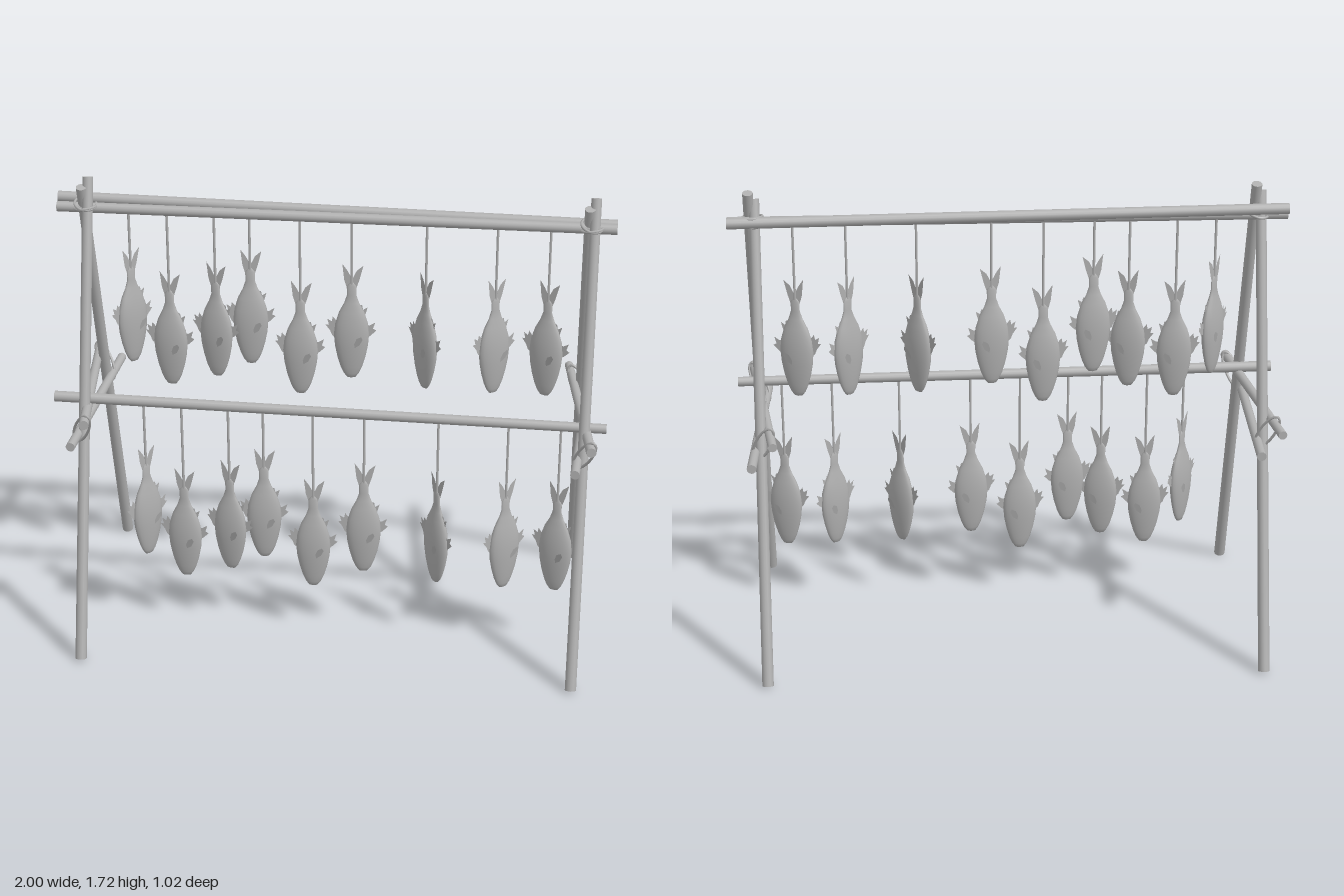
import * as THREE from 'three';

const grey = new THREE.MeshStandardMaterial({ color: 0xb0b0b0, side: THREE.DoubleSide });
grey.name = 'plain grey';

const V = (x, y, z) => new THREE.Vector3(x, y, z);

function add(parent, geometry, name) {
  const mesh = new THREE.Mesh(geometry, grey);
  mesh.name = name;
  parent.add(mesh);
  return mesh;
}

// Round stick between two points
function stick(parent, a, b, r0, r1, name, sides = 14) {
  const dir = b.clone().sub(a);
  const mesh = add(parent, new THREE.CylinderGeometry(r1, r0, dir.length(), sides), name);
  mesh.position.copy(a).add(b).multiplyScalar(0.5);
  mesh.quaternion.setFromUnitVectors(V(0, 1, 0), dir.normalize());
}

// Closed elliptical rope with half-axes u and v
function ropeLoop(parent, centre, u, v, name) {
  const points = [];
  for (let i = 0; i < 12; i++) {
    const a = (i / 12) * Math.PI * 2;
    points.push(centre.clone().addScaledVector(u, Math.cos(a)).addScaledVector(v, Math.sin(a)));
  }
  const curve = new THREE.CatmullRomCurve3(points, true);
  add(parent, new THREE.TubeGeometry(curve, 36, 0.005, 6, true), name);
}

// A-frame with crossed legs, two tie beams and rope lashings
function createFrame(x) {
  const frame = new THREE.Group();
  frame.name = 'endFrame';
  frame.position.x = x;
  stick(frame, V(0.02, 0.006, 0.489), V(0.02, 1.715, -0.014), 0.021, 0.019, 'frontLeg');
  stick(frame, V(0, 0.006, -0.489), V(0, 1.685, 0.014), 0.021, 0.019, 'backLeg');
  stick(frame, V(0.048, 0.915, 0.37), V(-0.048, 0.895, -0.38), 0.018, 0.016, 'upperTieBeam');
  stick(frame, V(-0.005, 0.824, 0.37), V(0.028, 0.824, -0.4), 0.017, 0.017, 'lowerTieBeam');
  ropeLoop(frame, V(0.025, 0.868, 0.303), V(0.03, 0.068, 0.035), V(0.024, -0.008, 0.006), 'frontBeamLashing');
  ropeLoop(frame, V(-0.01, 0.865, -0.275), V(-0.03, 0.068, -0.025), V(0.026, 0.008, 0.004), 'backBeamLashing');
  for (let i = 0; i < 2; i++) {
    ropeLoop(frame, V(0.01, 1.605 + i * 0.014, 0.002), V(0.038, 0.006 - i * 0.012, 0),
      V(0, 0.008 * (1 - 2 * i), 0.046), 'topLashing');
  }
  return frame;
}

// Flat outlines for the tail and fins
function flat(points) {
  return new THREE.ShapeGeometry(new THREE.Shape(points.map(([x, y]) => new THREE.Vector2(x, y))));
}
const tailGeometry = flat([
  [-0.015, 0.305], [0.015, 0.305], [0.018, 0.36], [0.028, 0.39], [0.042, 0.445],
  [0.018, 0.425], [0.002, 0.392], [-0.015, 0.425], [-0.034, 0.452], [-0.027, 0.39], [-0.018, 0.36],
]);
const dorsalGeometry = flat([
  [-0.045, 0.15], [-0.07, 0.17], [-0.078, 0.19], [-0.094, 0.212], [-0.082, 0.212],
  [-0.088, 0.236], [-0.072, 0.226], [-0.068, 0.245], [-0.052, 0.225], [-0.035, 0.235],
]);
const bellyGeometry = flat([
  [0.045, 0.155], [0.07, 0.17], [0.09, 0.19], [0.078, 0.197], [0.086, 0.222], [0.066, 0.21], [0.04, 0.215],
]);
const rearFinGeometry = flat([
  [0.03, 0.24], [0.05, 0.253], [0.058, 0.282], [0.042, 0.272], [0.038, 0.29], [0.018, 0.29],
]);
const sideFinGeometry = flat([
  [0, 0], [0.012, 0.018], [0.014, 0.045], [0.004, 0.055], [-0.008, 0.04], [-0.008, 0.015],
]);

// Flattened body, nose down
const profile = [
  [0, 0], [0.016, 0.004], [0.028, 0.02], [0.039, 0.045], [0.051, 0.085], [0.06, 0.13],
  [0.064, 0.175], [0.059, 0.22], [0.045, 0.265], [0.027, 0.3], [0.017, 0.33], [0.017, 0.365], [0, 0.385],
].map(([x, y]) => new THREE.Vector2(x, y));
const bodyGeometry = new THREE.LatheGeometry(profile, 20).scale(1, 1, 0.4);

function createFish() {
  const fish = new THREE.Group();
  fish.name = 'fish';
  add(fish, bodyGeometry, 'body');
  add(fish, tailGeometry, 'tailFin');
  add(fish, dorsalGeometry, 'dorsalFin');
  add(fish, bellyGeometry, 'bellyFin');
  add(fish, rearFinGeometry, 'rearFin');
  for (const s of [-1, 1]) {
    const fin = add(fish, sideFinGeometry, 'sideFin');
    fin.position.set(0.012, 0.13, s * 0.024);
    fin.rotation.set(s * 0.22, 0, -0.35);
  }
  return fish;
}

// Place along the pole, nose height and turn of every fish in a row
const row = [
  [-0.743, 0.995, 0.85], [-0.604, 0.909, -0.1], [-0.433, 0.952, -0.25],
  [-0.305, 1.011, 0.1], [-0.123, 0.898, 0.05], [0.064, 0.973, 0.1],
  [0.332, 0.946, -0.8], [0.583, 0.941, 0.65], [0.77, 0.941, -0.35],
];

function createRow(name, dx, dy, z, poleY) {
  const group = new THREE.Group();
  group.name = name;
  for (const [x, y, turn] of row) {
    const fish = createFish();
    fish.position.set(x + dx, y + dy, z);
    fish.rotation.y = turn;
    group.add(fish);
    stick(group, V(x + dx, y + dy + 0.36, z), V(x + dx, poleY, z), 0.005, 0.005, 'string', 6);
  }
  return group;
}

export function createModel() {
  const model = new THREE.Group();
  model.name = 'fishDryingRack';
  model.add(createFrame(-0.904), createFrame(0.902));

  // Hanging poles
  stick(model, V(-1, 1.628, -0.034), V(1, 1.61, -0.034), 0.02, 0.02, 'topPoleBack');
  stick(model, V(-1, 1.6, -0.008), V(1, 1.606, -0.004), 0.019, 0.019, 'topPoleFront');
  stick(model, V(-1, 0.935, 0.188), V(1, 0.92, 0.188), 0.02, 0.018, 'lowerPole');

  // Two rows of hanging fish
  model.add(createRow('upperFishRow', 0, 0, -0.015, 1.6));
  model.add(createRow('lowerFishRow', 0.07, -0.697, 0.19, 0.925));
  return model;
}
